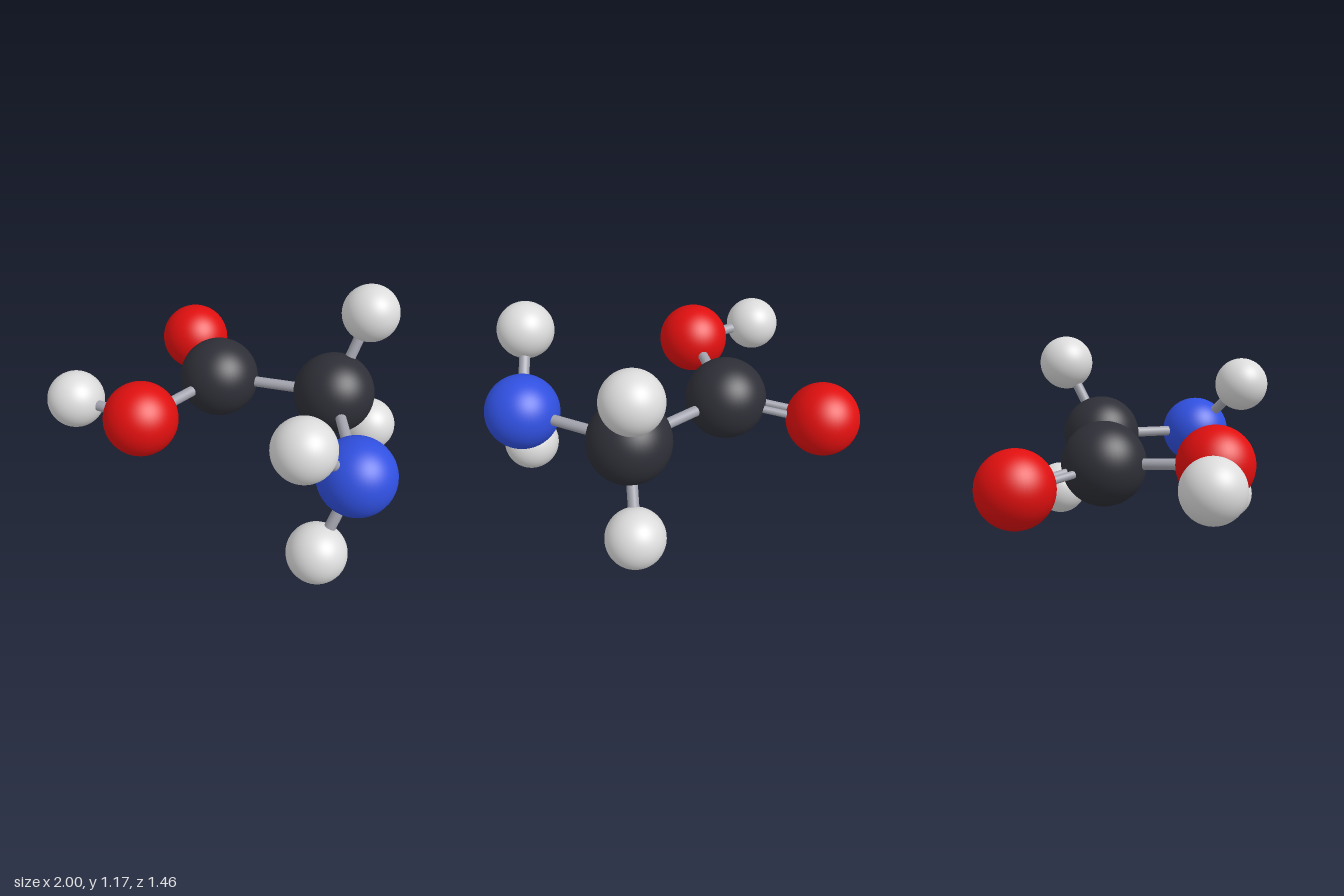
import * as THREE from 'three';

const mat = (name, color) => {
  const m = new THREE.MeshStandardMaterial({ color });
  m.name = name;
  return m;
};

export function createModel() {
  const model = new THREE.Group();
  model.name = 'molecule';

  const bondGrey = mat('bond grey', 0xa3a3ae);
  // Elements: sphere radius and colour
  const elements = {
    carbon: { r: 0.228, material: mat('carbon black', 0x2e2f37) },
    oxygen: { r: 0.204, material: mat('oxygen red', 0xe00f0f) },
    nitrogen: { r: 0.207, material: mat('nitrogen blue', 0x3050e0) },
    hydrogen: { r: 0.16, material: mat('hydrogen white', 0xdcdcdc) },
  };
  for (const e of Object.values(elements)) e.geometry = new THREE.SphereGeometry(e.r, 48, 32);

  // Atoms: element and centre
  const atoms = {
    acidCarbon: ['carbon', -0.267, 0.554, -0.135],
    alphaCarbon: ['carbon', 0.406, 0.594, -0.275],
    doubleOxygen: ['oxygen', -0.674, 0.5, -0.504],
    hydroxylOxygen: ['oxygen', -0.398, 0.594, 0.462],
    amineNitrogen: ['nitrogen', 0.79, 0.566, 0.274],
    hydroxylHydrogen: ['hydrogen', -0.84, 0.57, 0.472],
    alphaHydrogenUpper: ['hydrogen', 0.492, 1.019, -0.508],
    alphaHydrogenLower: ['hydrogen', 0.527, 0.213, -0.568],
    amineHydrogenUpper: ['hydrogen', 0.628, 0.887, 0.568],
    amineHydrogenLower: ['hydrogen', 0.696, 0.167, 0.493],
  };
  const centres = {};
  for (const [name, [element, x, y, z]] of Object.entries(atoms)) {
    const { geometry, material } = elements[element];
    const atom = new THREE.Mesh(geometry, material);
    atom.name = name;
    atom.position.set(x, y, z);
    centres[name] = atom.position;
    model.add(atom);
  }

  // Bonds: one rod, or two thinner rods side by side
  const up = new THREE.Vector3(0, 1, 0);
  function addBond(from, to, double = false) {
    const a = centres[from], b = centres[to];
    const axis = b.clone().sub(a);
    const length = axis.length();
    axis.normalize();
    const side = new THREE.Vector3().crossVectors(axis, up).normalize();
    for (const offset of double ? [-0.032, 0.032] : [0]) {
      const rod = new THREE.Mesh(
        new THREE.CylinderGeometry(double ? 0.021 : 0.03, double ? 0.021 : 0.03, length, 20), bondGrey);
      rod.name = double ? 'doubleBond' : 'bond';
      rod.position.copy(a).add(b).multiplyScalar(0.5).addScaledVector(side, offset);
      rod.quaternion.setFromUnitVectors(up, axis);
      model.add(rod);
    }
  }
  addBond('acidCarbon', 'alphaCarbon');
  addBond('acidCarbon', 'doubleOxygen', true);
  addBond('acidCarbon', 'hydroxylOxygen');
  addBond('hydroxylOxygen', 'hydroxylHydrogen');
  addBond('alphaCarbon', 'amineNitrogen');
  for (const level of ['Upper', 'Lower']) {
    addBond('alphaCarbon', 'alphaHydrogen' + level);
    addBond('amineNitrogen', 'amineHydrogen' + level);
  }

  return model;
}
